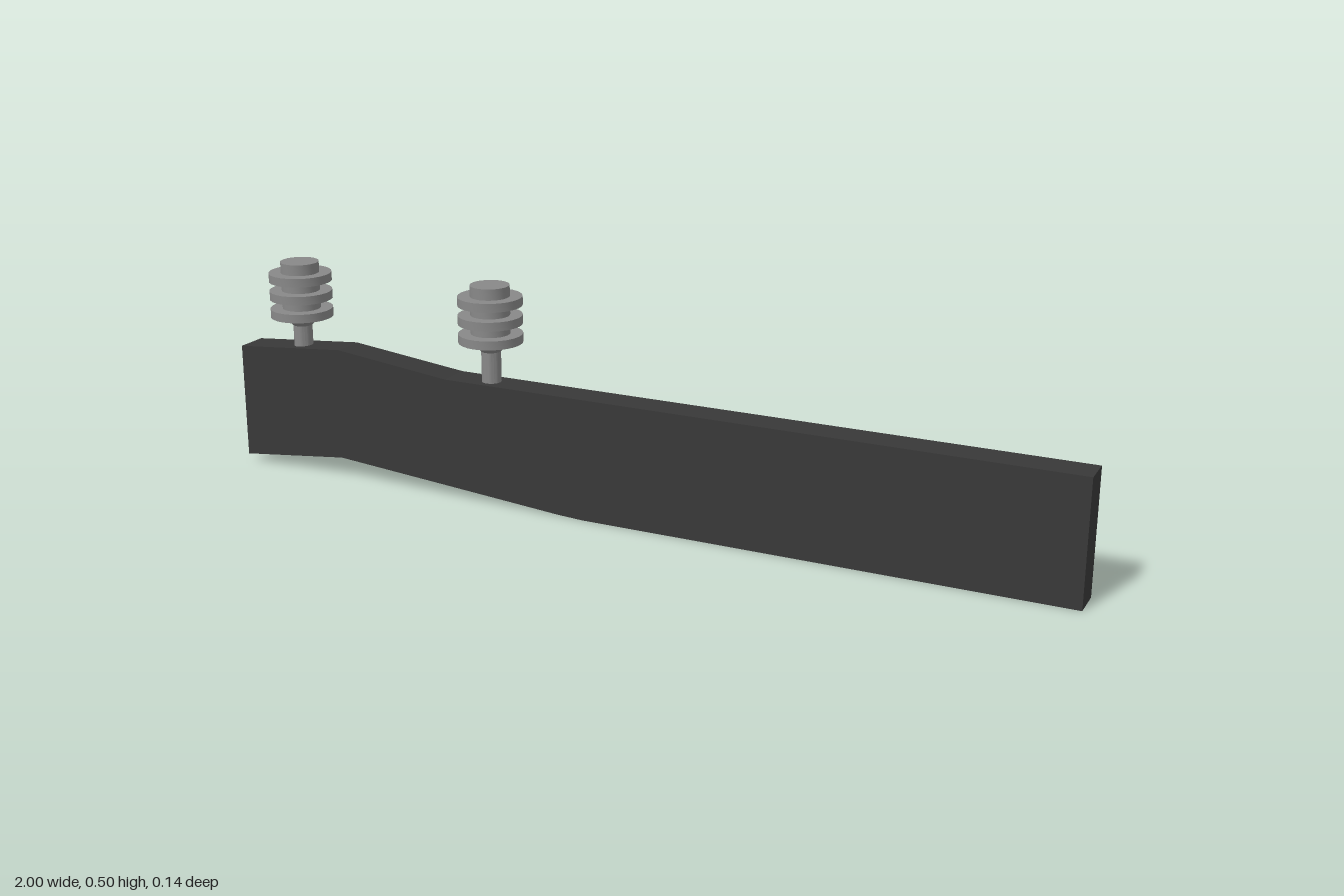
import * as THREE from 'three';
import { toCreasedNormals } from 'three/addons/utils/BufferGeometryUtils.js';

const DEPTH = 0.074;

// Beam: side outline with a cranked end, extruded through its thickness
function createBeam() {
  const outline = [
    [-1, 0.017], [-0.73, 0.048], [-0.45, 0.026], [-0.16, 0.003], [-0.1, 0], [1, 0],
    [1, 0.277], [-0.44, 0.277], [-0.725, 0.309], [-1, 0.285],
  ];
  const shape = new THREE.Shape(outline.map(([x, y]) => new THREE.Vector2(x, y)));
  const geometry = new THREE.ExtrudeGeometry(shape, { depth: DEPTH, bevelEnabled: false });
  geometry.translate(0, 0, -DEPTH / 2);
  const beam = new THREE.Mesh(geometry, new THREE.MeshStandardMaterial({ color: 0x383838 }));
  beam.name = 'beam';
  return beam;
}

// Insulator: stem, flared neck and a core carrying three ribs, turned as one profile
function createInsulator(x, material) {
  const stem = 0.022, core = 0.044, rib = 0.072;
  const profile = [[0, 0.25], [stem, 0.25], [stem, 0.347], [core, 0.368]];
  for (const y of [0.368, 0.41, 0.452]) {
    if (y > 0.368) profile.push([core, y]);
    profile.push([rib, y], [rib, y + 0.02], [core, y + 0.02]);
  }
  profile.push([core, 0.497], [0, 0.497]);
  const lathe = new THREE.LatheGeometry(profile.map(([r, y]) => new THREE.Vector2(r, y)), 24);
  const insulator = new THREE.Mesh(toCreasedNormals(lathe, 0.5), material);
  insulator.position.x = x;
  return insulator;
}

export function createModel() {
  const model = new THREE.Group();
  model.name = 'beamWithInsulators';
  model.add(createBeam());
  const grey = new THREE.MeshStandardMaterial({ color: 0x888888 });
  [['outerInsulator', -0.848], ['innerInsulator', -0.342]].forEach(([name, x]) => {
    const insulator = createInsulator(x, grey);
    insulator.name = name;
    model.add(insulator);
  });
  return model;
}
